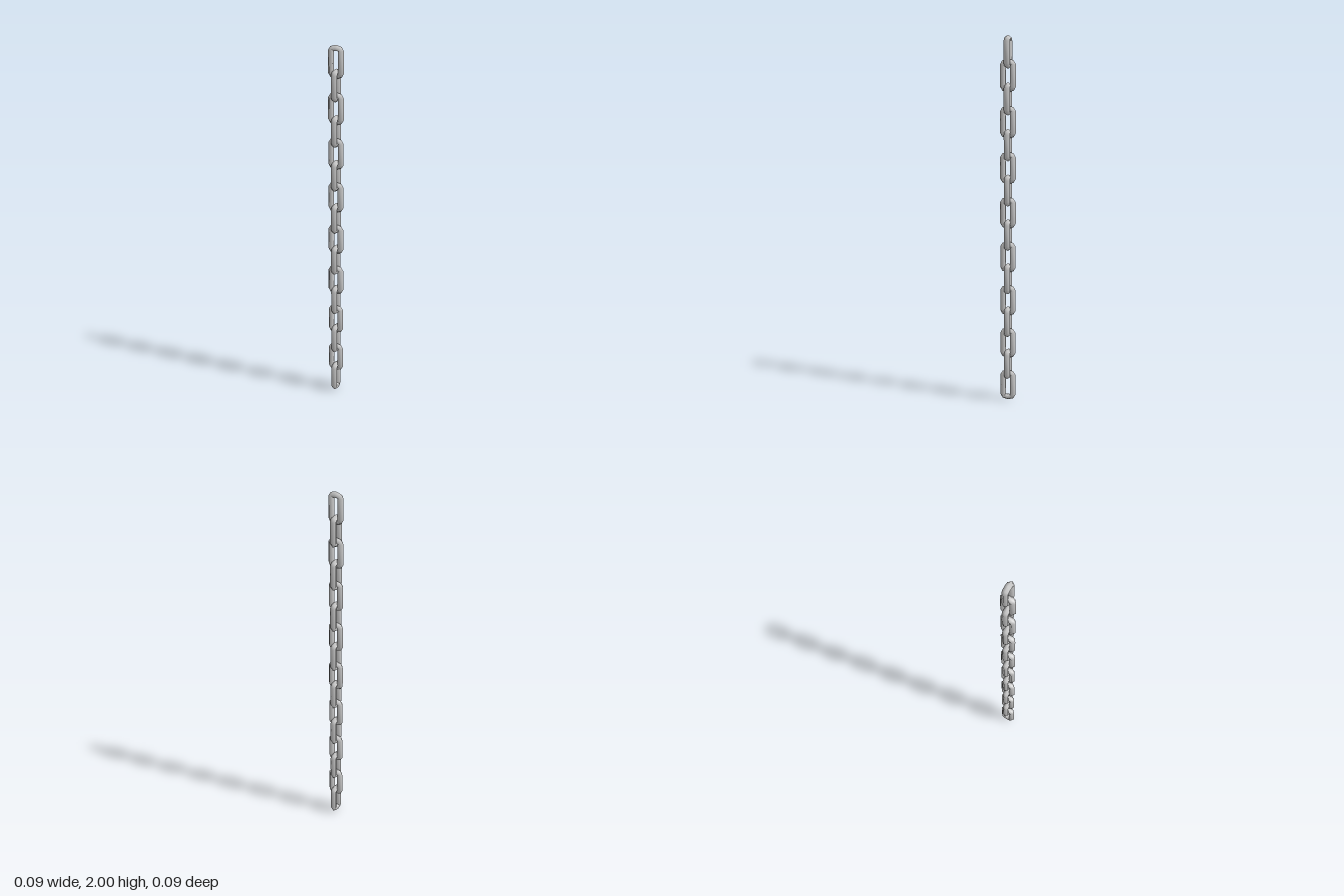
import * as THREE from 'three';

const LINKS = 16;
const HEIGHT = 0.175;   // one link, outside
const HALF_WIDTH = 0.0425;
const END_RISE = 0.03;  // height of the rounded end
const PITCH = (2 - HEIGHT) / (LINKS - 1);

// Five-sided bar section: [inset from the outer edge, depth]
const SECTION = [[0, 0], [0.012, 0.0167], [0.029, 0.0103], [0.029, -0.0103], [0.012, -0.0167]];

// Closed link lying in the xy plane: a stadium path swept with the section
function linkGeometry() {
  const positions = [], index = [];
  const steps = 4, stations = 2 * (steps + 1), sides = SECTION.length;
  for (let end = 0; end < 2; end++) {
    for (let k = 0; k <= steps; k++) {
      const angle = Math.PI * (end + k / steps);
      const shift = (end ? -1 : 1) * (HEIGHT / 2 - END_RISE);
      for (const [inset, depth] of SECTION) {
        positions.push(
          (HALF_WIDTH - inset) * Math.cos(angle),
          shift + (END_RISE - inset) * Math.sin(angle),
          depth);
      }
    }
  }
  for (let i = 0; i < stations; i++) {
    for (let j = 0; j < sides; j++) {
      const n = (i + 1) % stations, m = (j + 1) % sides;
      const a = i * sides + j, b = n * sides + j, c = n * sides + m, d = i * sides + m;
      index.push(a, b, c, a, c, d);
    }
  }
  const geometry = new THREE.BufferGeometry();
  geometry.setAttribute('position', new THREE.Float32BufferAttribute(positions, 3));
  geometry.setIndex(index);
  geometry.computeVertexNormals();
  return geometry;
}

export function createModel() {
  const group = new THREE.Group();
  group.name = 'chain';
  const geometry = linkGeometry();
  const material = new THREE.MeshStandardMaterial({ color: 0xcccccc });

  // Links stacked upward, every other one turned a quarter
  for (let i = 0; i < LINKS; i++) {
    const link = new THREE.Mesh(geometry, material);
    link.name = `chainLink${i + 1}`;
    link.position.y = HEIGHT / 2 + i * PITCH;
    link.rotation.y = i % 2 === 0 ? Math.PI / 2 : 0;
    group.add(link);
  }
  return group;
}
